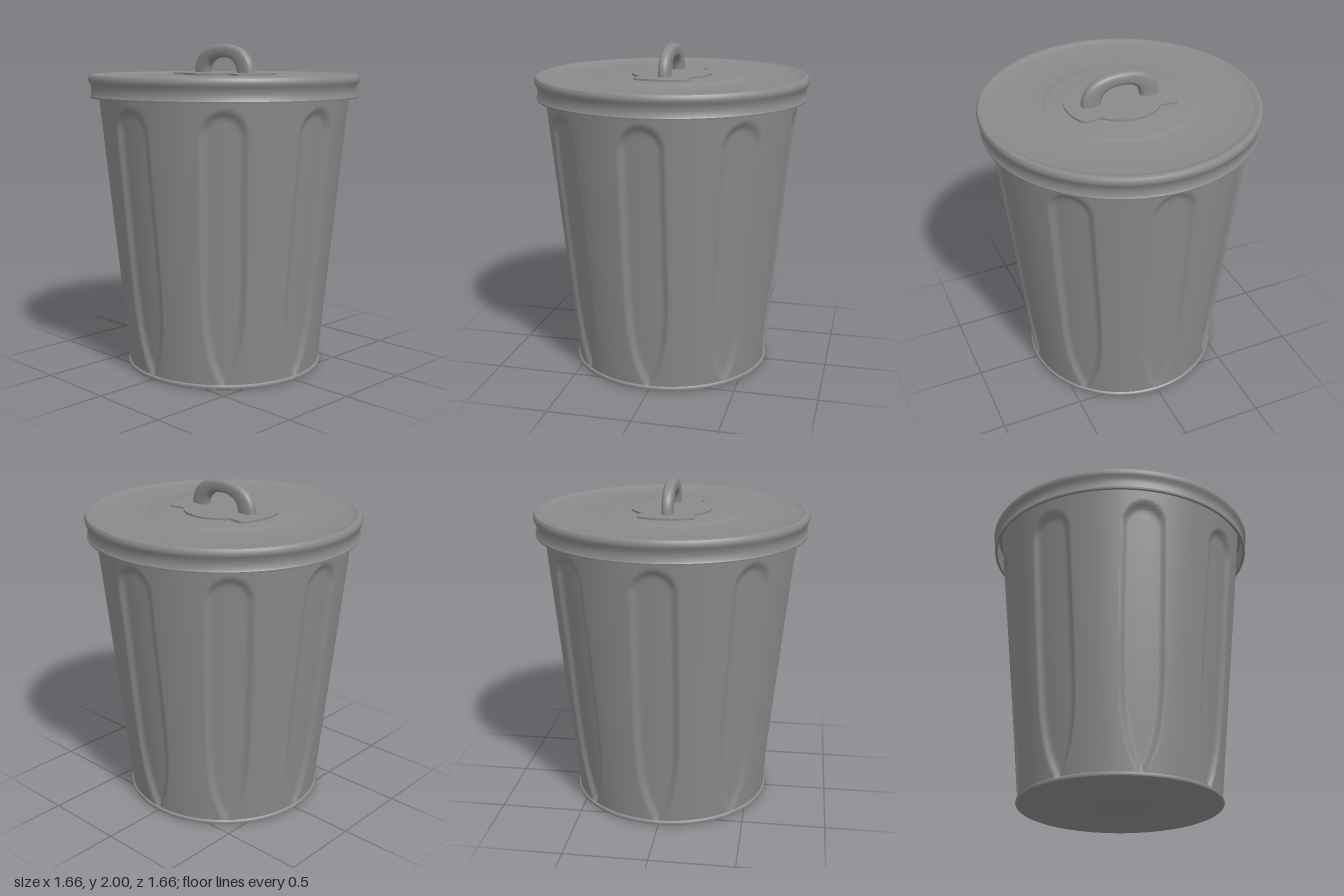
import * as THREE from 'three';
import { toCreasedNormals } from 'three/addons/utils/BufferGeometryUtils.js';

const V2 = (p) => new THREE.Vector2(p[0], p[1]);
const lathe = (pts) => toCreasedNormals(new THREE.LatheGeometry(pts.map(V2), 128), 0.6);

// Indexed grid surface: fn(column, row) returns [x, y, z]; columns wrap round
function gridSurface(cols, rows, fn) {
  const pos = [], idx = [];
  for (let j = 0; j <= rows; j++) for (let i = 0; i < cols; i++) pos.push(...fn(i / cols, j / rows));
  for (let j = 0; j < rows; j++) for (let i = 0; i < cols; i++) {
    const a = j * cols + i, b = j * cols + (i + 1) % cols, c = a + cols, d = b + cols;
    idx.push(a, b, d, a, d, c);
  }
  const g = new THREE.BufferGeometry();
  g.setAttribute('position', new THREE.Float32BufferAttribute(pos, 3));
  g.setIndex(idx);
  g.computeVertexNormals();
  return g;
}

// Tapered wall with eight pressed-in flutes
function wallGeometry() {
  const y0 = 0.025, y1 = 1.79, sector = Math.PI / 4;
  return gridSurface(8 * 52, 92, (u, v) => {
    const a = u * Math.PI * 2, y = y0 + (y1 - y0) * v;
    const r = 0.602 + (y - 0.03) * 0.1006;
    const s = (a - Math.round(a / sector) * sector) * r;
    // distance inside the flute outline: round top, tapering foot
    let d;
    if (y > 1.5) d = 0.132 - Math.hypot(s, y - 1.5);
    else d = 0.132 * (1 - Math.pow(Math.max(0, 1.2 - y) / 1.2, 6)) - Math.abs(s);
    const t = Math.min(1, Math.max(0, d / 0.045));
    const k = r - 0.024 * t * (2 - t);
    return [Math.sin(a) * k, y, Math.cos(a) * k];
  });
}

// Arched grip lofted between an inner and an outer arch
function gripGeometry() {
  const soft = (c, e) => Math.sign(c) * Math.pow(Math.abs(c), e);
  return gridSurface(24, 48, (u, v) => {
    const t = v * Math.PI, c = soft(Math.cos(t), 0.85), s = soft(Math.sin(t), 0.85);
    const ox = 0.243 * c, oy = 1.82 + 0.18 * s, ix = 0.125 * c, iy = 1.82 + 0.1 * s;
    const a = u * Math.PI * 2, k = 0.5 + 0.5 * soft(Math.cos(a), 0.75);
    return [ix + (ox - ix) * k, iy + (oy - iy) * k, -0.035 * soft(Math.sin(a), 0.75)];
  });
}

// Round plate with two flared ears
function plateGeometry() {
  const pts = [];
  const arc = (r, a0, a1, n) => {
    for (let i = 0; i <= n; i++) {
      const a = a0 + (a1 - a0) * i / n;
      pts.push(new THREE.Vector2(Math.cos(a) * r, Math.sin(a) * r));
    }
  };
  for (const turn of [0, Math.PI]) {
    arc(0.335, turn - 0.46, turn + 0.46, 14);
    arc(0.33, turn + 0.51, turn + 0.51, 1);
    arc(0.318, turn + 0.555, turn + 0.555, 1);
    arc(0.27, turn + 0.62, turn + 0.62, 1);
    arc(0.243, turn + 0.7, turn + Math.PI - 0.7, 24);
    arc(0.27, turn + Math.PI - 0.62, turn + Math.PI - 0.62, 1);
    arc(0.318, turn + Math.PI - 0.555, turn + Math.PI - 0.555, 1);
    arc(0.33, turn + Math.PI - 0.51, turn + Math.PI - 0.51, 1);
  }
  const clean = pts.filter((p, i) => i === 0 || p.distanceTo(pts[i - 1]) > 1e-4);
  const g = new THREE.ExtrudeGeometry(new THREE.Shape(clean), { depth: 0.02, bevelEnabled: false });
  g.rotateX(-Math.PI / 2);
  g.translate(0, 1.807, 0);
  return g;
}

export function createModel() {
  const model = new THREE.Group();
  model.name = 'dustbin';
  const metal = new THREE.MeshStandardMaterial({ color: 0x8a8a8a });
  metal.name = 'grey metal';
  const add = (name, geometry) => {
    const m = new THREE.Mesh(geometry, metal);
    m.name = name;
    model.add(m);
  };

  add('flutedWall', wallGeometry());

  // Flat floor with a small rolled rim
  add('base', lathe([[0, 0], [0.603, 0], [0.61, 0.004], [0.613, 0.012], [0.611, 0.021], [0.601, 0.028]]));

  // Lid: hollow skirt, rounded shoulder, sunken top with a raised middle
  add('lid', lathe([
    [0.7, 1.785], [0.8, 1.785], [0.805, 1.68], [0.82, 1.68], [0.822, 1.69], [0.816, 1.7],
    [0.814, 1.73], [0.818, 1.758], [0.828, 1.772], [0.832, 1.788], [0.83, 1.803], [0.823, 1.815],
    [0.81, 1.82], [0.795, 1.818], [0.782, 1.81], [0.765, 1.806],
    [0.455, 1.806], [0.445, 1.808], [0.435, 1.813], [0.422, 1.815], [0, 1.815],
  ]));

  add('handlePlate', plateGeometry());
  add('handle', gripGeometry());
  return model;
}
